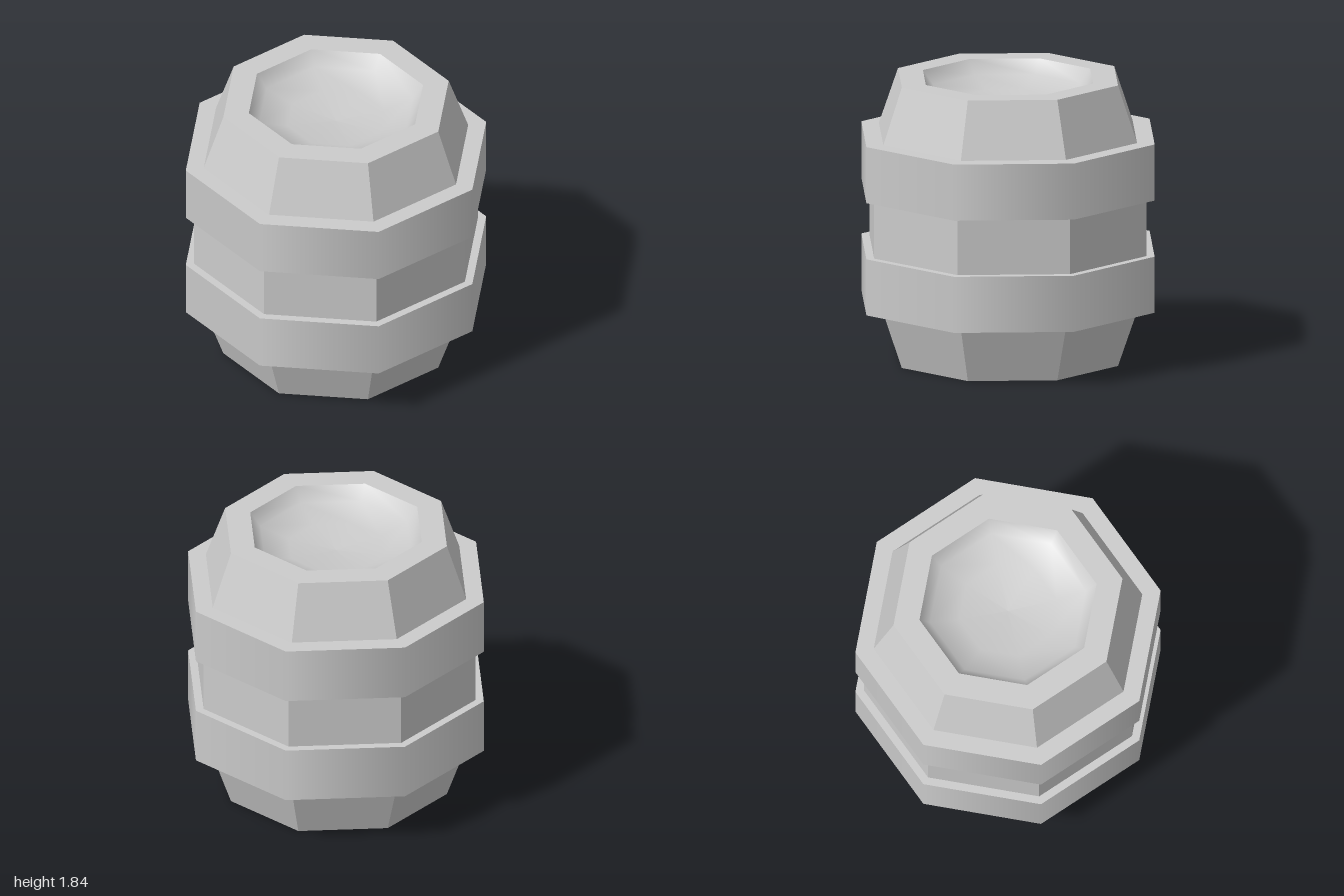
import * as THREE from 'three';

const SIDES = 8;
const H = 1.84;        // total height
const STEP = H / 5;    // five equal courses

export function createModel() {
  const model = new THREE.Group();
  model.name = 'barrel';
  const flat = new THREE.MeshStandardMaterial({ color: 0xcccccc, flatShading: true });
  const smooth = new THREE.MeshStandardMaterial({ color: 0xcccccc });

  const add = (name, geometry, material, y = 0) => {
    const mesh = new THREE.Mesh(geometry, material);
    mesh.name = name;
    mesh.position.y = y;
    model.add(mesh);
  };
  const course = (top, bottom, open) =>
    new THREE.CylinderGeometry(top, bottom, STEP, SIDES, 1, open);

  // Faceted staves: tapered ends and a straight waist
  add('lowerStaves', course(0.88, 0.75, true), flat, STEP * 0.5);
  add('middleStaves', course(0.945, 0.945, true), flat, STEP * 2.5);
  add('upperStaves', course(0.75, 0.88, true), flat, STEP * 4.5);

  // Two raised hoops with smooth sides
  add('lowerHoop', course(1, 1, false), smooth, STEP * 1.5);
  add('upperHoop', course(1, 1, false), smooth, STEP * 3.5);

  // Flat bottom
  const base = new THREE.CircleGeometry(0.75, SIDES).rotateX(Math.PI / 2);
  add('base', base, flat);

  // Rim and the softly dished lid inside it
  const rim = new THREE.RingGeometry(0.58, 0.75, SIDES).rotateX(-Math.PI / 2);
  add('rim', rim, flat, H);
  const dish = [[0.58, 0], [0.51, -0.09], [0.32, -0.15], [0, -0.17]]
    .map(([r, y]) => new THREE.Vector2(r, y));
  add('dishedLid', new THREE.LatheGeometry(dish, SIDES), smooth, H);

  return model;
}
